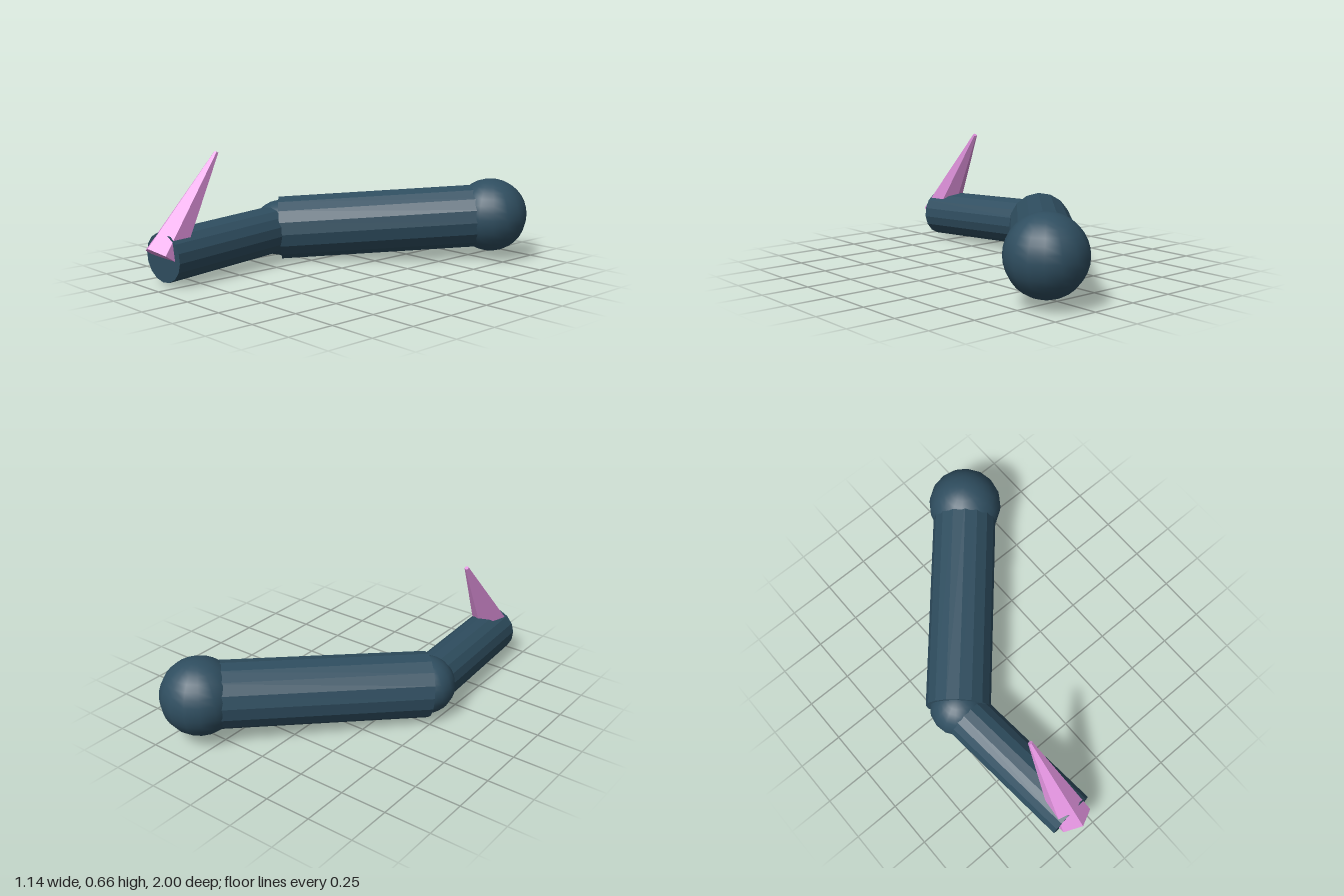
import * as THREE from 'three';

const skin = new THREE.MeshStandardMaterial({ color: 0x2f4e60, flatShading: true });
const smoothSkin = new THREE.MeshStandardMaterial({ color: 0x2f4e60 });
const horn = new THREE.MeshStandardMaterial({ color: 0xdd90da, flatShading: true });

const UP = new THREE.Vector3(0, 1, 0);

// Capped cylinder or cone frustum running between two points
function limb(name, from, to, rFrom, rTo, sides, material) {
  const dir = to.clone().sub(from);
  const mesh = new THREE.Mesh(
    new THREE.CylinderGeometry(rTo, rFrom, dir.length(), sides), material);
  mesh.position.copy(from).add(to).multiplyScalar(0.5);
  mesh.quaternion.setFromUnitVectors(UP, dir.normalize());
  mesh.name = name;
  return mesh;
}

function ball(name, center, radius) {
  const mesh = new THREE.Mesh(new THREE.SphereGeometry(radius, 16, 16), smoothSkin);
  mesh.position.copy(center);
  mesh.name = name;
  return mesh;
}

export function createModel() {
  const model = new THREE.Group();
  model.name = 'bentArm';

  // Joints
  const shoulder = new THREE.Vector3(0.365, 0.247, -0.797);
  const elbow = new THREE.Vector3(-0.415, 0.178, 0.085);
  const wrist = new THREE.Vector3(-0.337, 0.146, 0.91);
  const hornTip = new THREE.Vector3(-0.337, 0.652, 0.57);

  model.add(
    ball('shoulderBall', shoulder, 0.203),
    limb('upperArm', shoulder, elbow, 0.175, 0.175, 16, skin),
    ball('elbowBall', elbow, 0.154),
    limb('forearm', elbow, wrist, 0.13, 0.13, 16, skin),
    // Six-sided spike leaning back from the end of the forearm
    limb('spike', wrist, hornTip, 0.107, 0.012, 6, horn),
  );
  return model;
}
